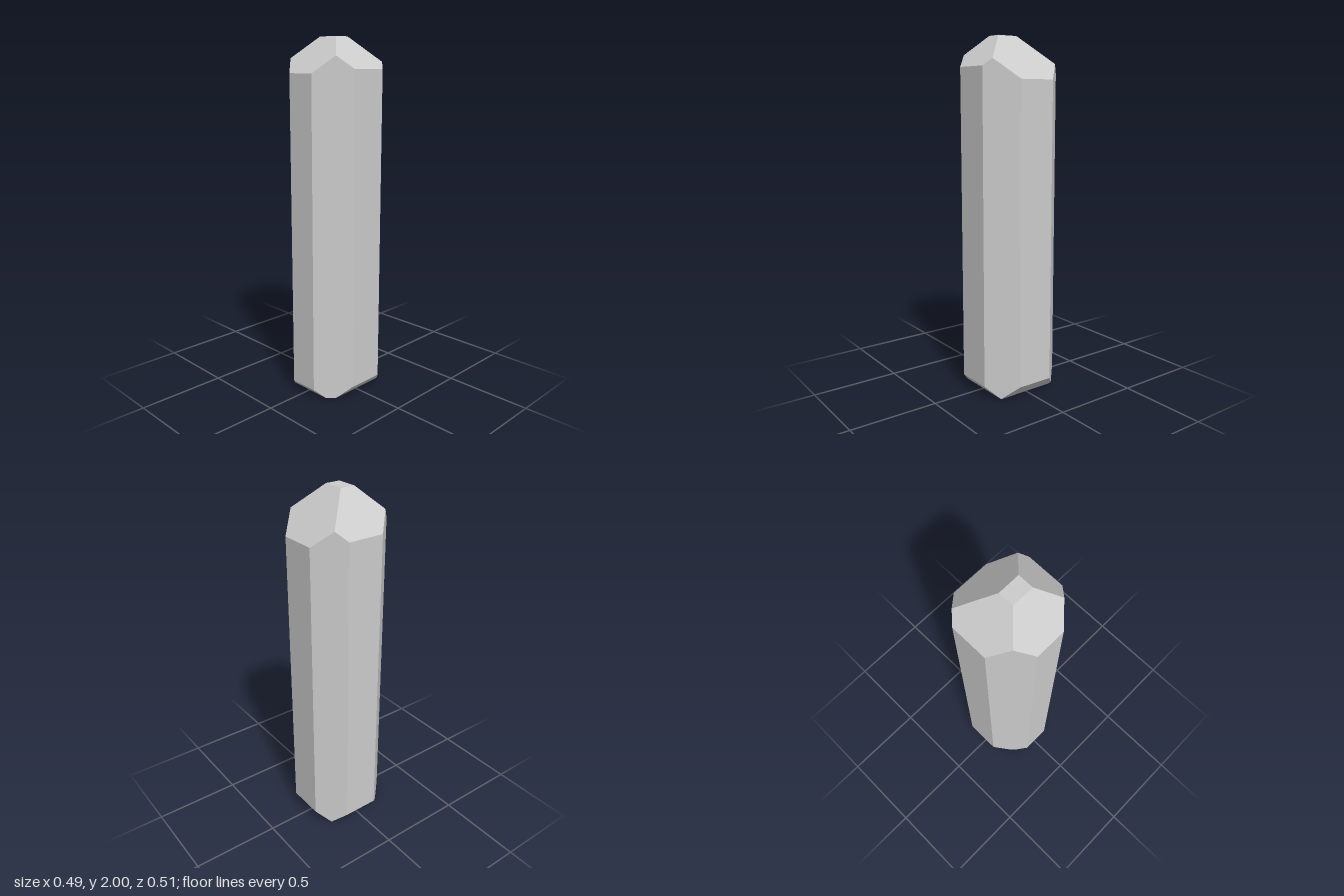
import * as THREE from 'three';
import { ConvexGeometry } from 'three/addons/geometries/ConvexGeometry.js';

// Facet planes of the crystal: [nx, ny, nz, d] keeps nx*x + ny*y + nz*z <= d
const FACETS = [
  // sides
  [1, 0, 0, 0.246], [-1, 0, 0, 0.246], [0, 0, 1, 0.255], [0, 0, -1, 0.257],
  // diagonal sides
  [1, 0, 1, 0.344], [-1, 0, 1, 0.335], [-1, 0, -1, 0.366], [1, 0, -1, 0.36],
  // tip
  [0, 1, 0, 2], [1, 1, 0, 2.077], [-1, 1, 0, 2.045], [0, 1, 1, 2.065], [0, 1, -1, 2.02],
  // base
  [0, -1, 0, 0], [1, -1, 0, 0.176], [-1, -1, 0, 0.169], [0, -1, 1, 0.205], [0, -1, -1, 0.177],
];

// Corners of the solid: every point where three facets meet inside all others
function facetCorners(facets) {
  const corners = [];
  const matrix = new THREE.Matrix3();
  const n = facets.length;
  for (let i = 0; i < n; i++) {
    for (let j = i + 1; j < n; j++) {
      for (let k = j + 1; k < n; k++) {
        const [a, b, c] = [facets[i], facets[j], facets[k]];
        matrix.set(a[0], a[1], a[2], b[0], b[1], b[2], c[0], c[1], c[2]);
        if (Math.abs(matrix.determinant()) < 1e-6) continue;
        const p = new THREE.Vector3(a[3], b[3], c[3]).applyMatrix3(matrix.invert());
        const inside = facets.every(([x, y, z, d]) => x * p.x + y * p.y + z * p.z <= d + 1e-6);
        if (inside && !corners.some((q) => q.distanceTo(p) < 1e-5)) corners.push(p);
      }
    }
  }
  return corners;
}

export function createModel() {
  const group = new THREE.Group();
  group.name = 'crystal';
  const material = new THREE.MeshStandardMaterial({ color: 0xcccccc, flatShading: true });
  const shard = new THREE.Mesh(new ConvexGeometry(facetCorners(FACETS)), material);
  shard.name = 'crystalShard';
  group.add(shard);
  return group;
}
